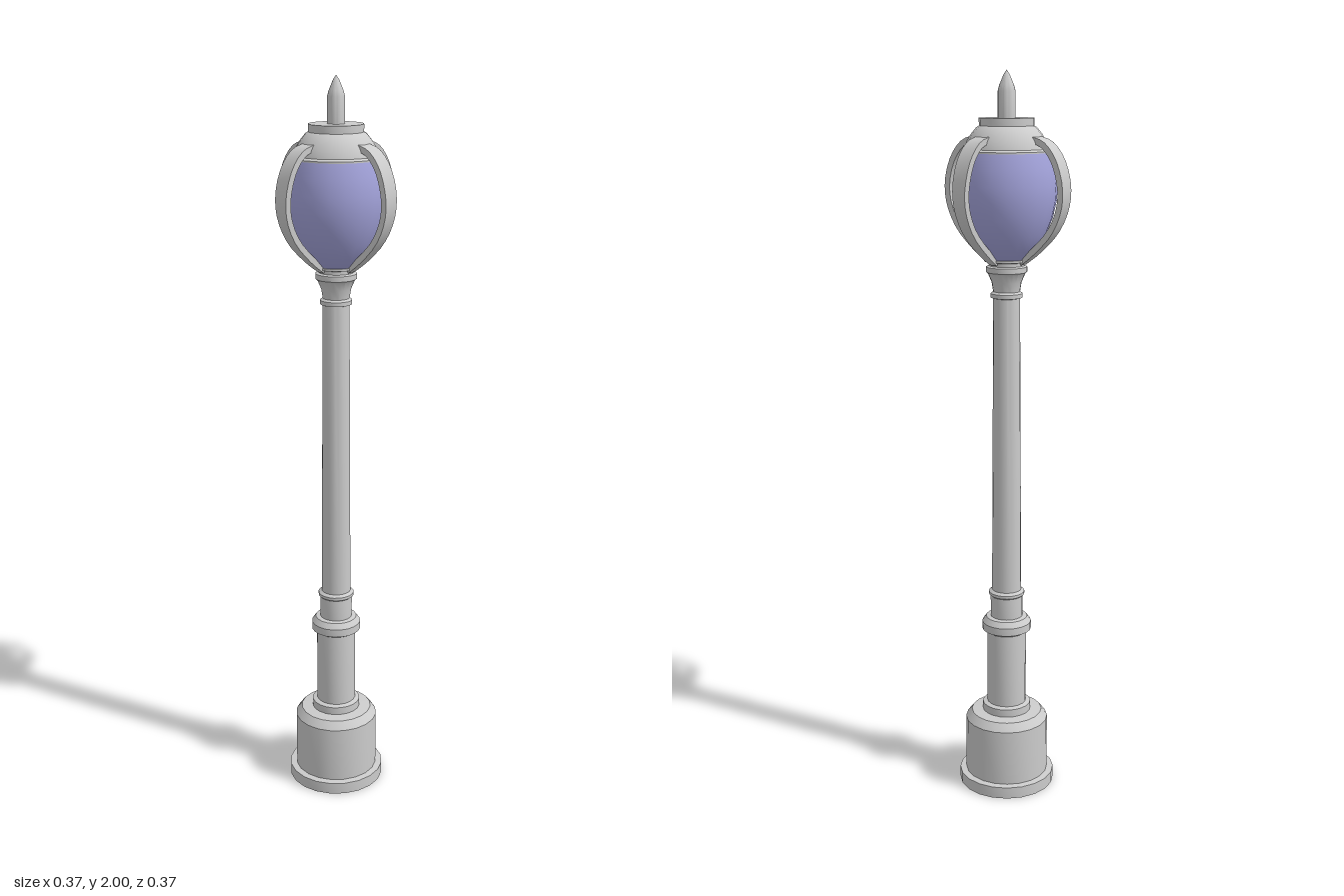
import * as THREE from 'three';
import { toCreasedNormals } from 'three/addons/utils/BufferGeometryUtils.js';

const SIDES = 20;
const metal = new THREE.MeshStandardMaterial({ color: 0xcccccc, side: THREE.DoubleSide });
const glass = new THREE.MeshStandardMaterial({ color: 0xa4a4dc, side: THREE.DoubleSide });

// Turned part from [radius, height] pairs, listed bottom to top
function turned(name, profile, material = metal, crease = 0.5) {
  const points = profile.map(([r, y]) => new THREE.Vector2(r, y));
  const mesh = new THREE.Mesh(toCreasedNormals(new THREE.LatheGeometry(points, SIDES), crease), material);
  mesh.name = name;
  return mesh;
}

// Bowed flat strap in the x-y plane, wider at the top than at the bottom
function strapGeometry() {
  const path = new THREE.CatmullRomCurve3([
    [0.048, 1.51], [0.088, 1.54], [0.142, 1.595], [0.17, 1.655], [0.174, 1.71],
    [0.155, 1.775], [0.122, 1.815], [0.085, 1.828],
  ].map(([x, y]) => new THREE.Vector3(x, y, 0)));
  const geometry = new THREE.BoxGeometry(0.016, 1, 1, 1, 20, 1);
  const pos = geometry.attributes.position;
  for (let i = 0; i < pos.count; i++) {
    const t = pos.getY(i) + 0.5;
    const p = path.getPoint(t);
    const d = path.getTangent(t);
    const off = pos.getX(i);
    const width = 0.026 + 0.02 * Math.min(1, t * 1.6);
    pos.setXYZ(i, p.x + d.y * off, p.y - d.x * off, pos.getZ(i) * width);
  }
  return toCreasedNormals(geometry, 0.6);
}

export function createModel() {
  const model = new THREE.Group();
  model.name = 'streetLamp';

  // Hollow plinth, open underneath
  model.add(turned('base', [
    [0.135, 0], [0.135, 0.033], [0.117, 0.035], [0.117, 0.195], [0.1, 0.217],
    [0.068, 0.22], [0.068, 0.242], [0.055, 0.246],
  ]));

  // Lower column with its moulded collar
  model.add(turned('lowerColumn', [
    [0.055, 0.246], [0.055, 0.46], [0.069, 0.468], [0.069, 0.49], [0.058, 0.505],
    [0.045, 0.507], [0.045, 0.568], [0.05, 0.572], [0.05, 0.58], [0.041, 0.586],
  ]));

  // Slender tapered shaft
  model.add(turned('shaft', [[0.041, 0.586], [0.036, 1.415]]));

  // Neck flaring out to hold the lantern
  model.add(turned('neck', [
    [0.036, 1.412], [0.043, 1.414], [0.043, 1.425], [0.036, 1.43], [0.04, 1.455],
    [0.05, 1.478], [0.055, 1.482], [0.055, 1.496], [0.047, 1.499], [0.047, 1.508],
    [0.06, 1.511], [0.06, 1.517], [0, 1.517],
  ]));

  // Egg-shaped glass globe
  model.add(turned('globe', [
    [0.05, 1.51], [0.079, 1.54], [0.104, 1.58], [0.122, 1.625], [0.132, 1.67],
    [0.134, 1.71], [0.129, 1.755], [0.119, 1.793],
  ], glass, 1));

  // Stepped cap
  model.add(turned('cap', [
    [0, 1.788], [0.119, 1.788], [0.119, 1.797], [0.11, 1.802], [0.104, 1.822],
    [0.092, 1.84], [0.079, 1.856], [0.072, 1.86], [0.072, 1.88], [0, 1.88],
  ]));

  // Pointed finial
  model.add(turned('finial', [
    [0.023, 1.88], [0.023, 1.947], [0.019, 1.962], [0.008, 1.988], [0, 2],
  ]));

  // Four straps around the globe, set slightly off the axes
  const geometry = strapGeometry();
  const straps = new THREE.Group();
  straps.name = 'straps';
  for (const degrees of [-6.5, -87.5, 173.5, 92.5]) {
    const strap = new THREE.Mesh(geometry, metal);
    strap.name = 'strap';
    strap.rotation.y = THREE.MathUtils.degToRad(degrees);
    straps.add(strap);
  }
  model.add(straps);
  return model;
}
